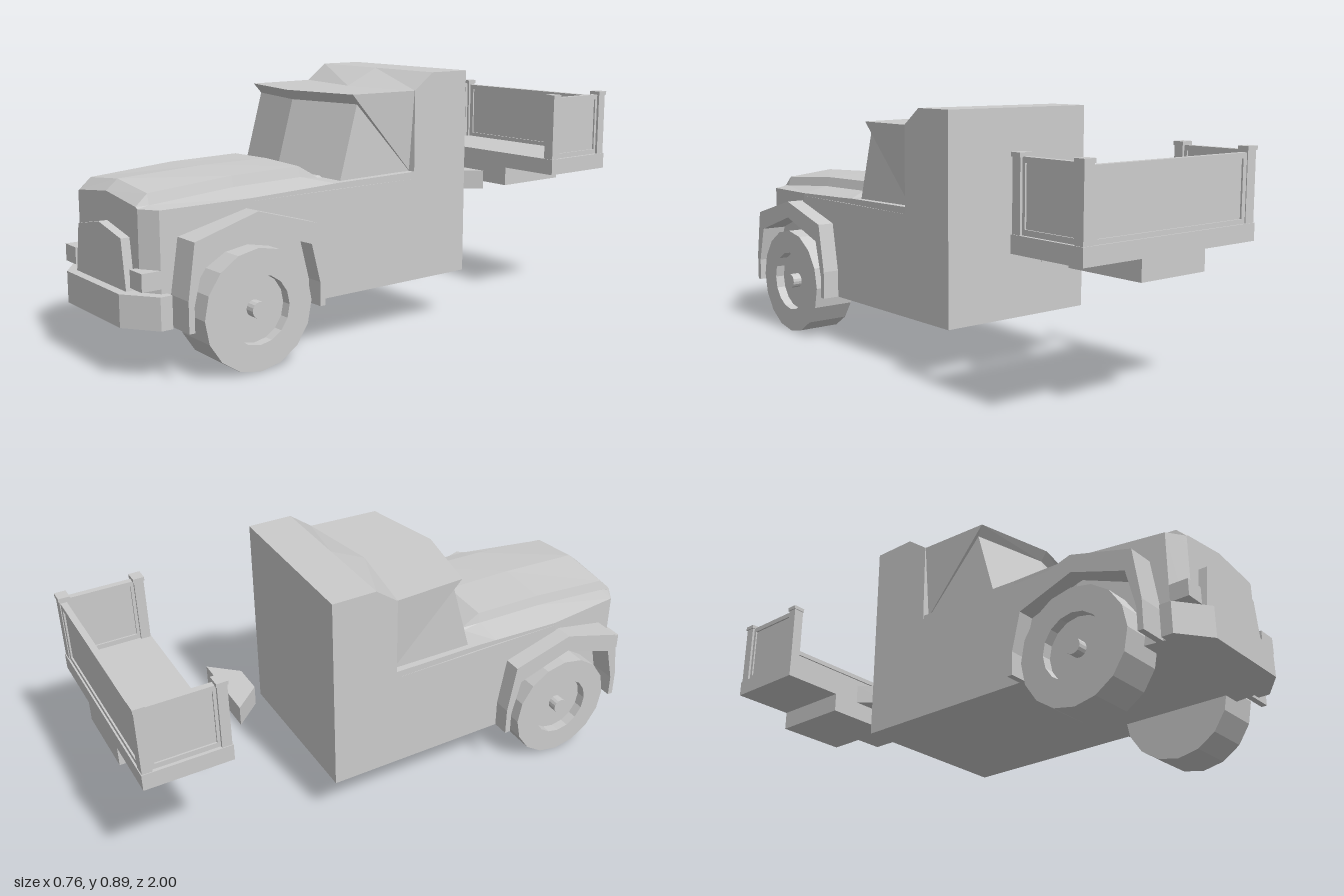
import * as THREE from 'three';

const mat = new THREE.MeshStandardMaterial({ color: 0xcccccc, flatShading: true });

export function createModel() {
  const model = new THREE.Group();

  const add = (name, geo, x = 0, y = 0, z = 0) => {
    const m = new THREE.Mesh(geo, mat);
    m.name = name;
    m.position.set(x, y, z);
    model.add(m);
    return m;
  };

  // Box given by its extents
  const box = (name, x0, x1, y0, y1, z0, z1) =>
    add(name, new THREE.BoxGeometry(x1 - x0, y1 - y0, z1 - z0), (x0 + x1) / 2, (y0 + y1) / 2, (z0 + z1) / 2);

  // Mirrored half outline [x, z], extruded upwards
  const plan = (name, half, y0, y1) => {
    const pts = [...half, ...half.map(([x, z]) => [-x, z]).reverse()];
    const geo = new THREE.ExtrudeGeometry(new THREE.Shape(pts.map(([x, z]) => new THREE.Vector2(x, -z))),
      { depth: y1 - y0, bevelEnabled: false });
    return add(name, geo.rotateX(-Math.PI / 2), 0, y0, 0);
  };

  // Side outline [z, y], extruded along x
  const side = (name, pts, x0, x1) => {
    const geo = new THREE.ExtrudeGeometry(new THREE.Shape(pts.map(([z, y]) => new THREE.Vector2(-z, y))),
      { depth: x1 - x0, bevelEnabled: false });
    return add(name, geo.rotateY(Math.PI / 2), x0, 0, 0);
  };

  // Skin over equal closed rings of [x, y, z], with fan caps, turned outwards
  const loft = (name, rings) => {
    const n = rings[0].length, tris = [];
    for (let r = 0; r < rings.length - 1; r++) {
      for (let i = 0; i < n; i++) {
        const j = (i + 1) % n, a = rings[r], b = rings[r + 1];
        tris.push([a[i], a[j], b[j]], [a[i], b[j], b[i]]);
      }
    }
    const last = rings[rings.length - 1];
    for (let i = 1; i < n - 1; i++) {
      tris.push([rings[0][0], rings[0][i + 1], rings[0][i]], [last[0], last[i], last[i + 1]]);
    }
    const v = (p) => new THREE.Vector3(...p);
    const volume = tris.reduce((s, [a, b, c]) => s + v(a).dot(v(b).cross(v(c))), 0);
    const out = volume < 0 ? tris.map(([a, b, c]) => [a, c, b]) : tris;
    const geo = new THREE.BufferGeometry();
    geo.setAttribute('position', new THREE.Float32BufferAttribute(out.flat(2), 3));
    geo.computeVertexNormals();
    return add(name, geo);
  };

  // Lower body
  plan('lowerBody', [[0.305, -0.31], [0.305, 0.6], [0.26, 0.9], [0.2, 0.94]], 0.17, 0.53);

  // Hood and cowl: shoulder, step, raised centre panel
  const hoodRing = (z, shoulderX, shoulderY, baseY, topY, midY) => {
    const half = [[shoulderX, 0.5], [shoulderX, shoulderY], [0.2, baseY], [0.19, topY]];
    return [[0, 0.5], ...half, [0, midY], ...half.map(([x, y]) => [-x, y]).reverse()].map(([x, y]) => [x, y, z]);
  };
  loft('hood', [
    hoodRing(-0.1, 0.305, 0.555, 0.556, 0.557, 0.558),
    hoodRing(0.27, 0.3, 0.55, 0.555, 0.56, 0.565),
    hoodRing(0.34, 0.3, 0.547, 0.565, 0.6, 0.605),
    hoodRing(0.6, 0.305, 0.54, 0.56, 0.595, 0.605),
    hoodRing(0.9, 0.26, 0.53, 0.537, 0.572, 0.592),
    hoodRing(0.94, 0.2, 0.528, 0.53, 0.535, 0.558),
  ]);

  // Rear of the cab with its raised, V-shaped roof step
  const rearRing = (x, z) => [[x, 0.5, -0.31], [x, 0.893, -0.31], [x, 0.893, -0.15], [x, 0.834, z], [x, 0.5, z]];
  loft('cabRear', [rearRing(-0.305, -0.07), rearRing(0, -0.02), rearRing(0.305, -0.07)]);

  // Front of the cab: roof, visor lip and V-shaped windshield
  const frontRing = (s, dz) => [
    [s * 0.28, 0.5, -0.12], [s * 0.28, 0.8, -0.12], [s * 0.303, 0.834, -0.12], [s * 0.303, 0.834, -0.07],
    [s * 0.29, 0.834, 0.19 + dz], [s * 0.28, 0.8, 0.165 + dz], [s * 0.28, 0.5, 0.25 + dz]];
  loft('cabFront', [frontRing(-1, 0), frontRing(0, 0.06), frontRing(1, 0)]);

  // Bumper and grille
  plan('bumper', [[0.29, 0.88], [0.29, 0.92], [0.18, 1.0]], 0.17, 0.275);
  const grille = new THREE.Shape([[-0.17, 0.27], [0.17, 0.27], [0.145, 0.435], [0, 0.465], [-0.145, 0.435]]
    .map(([x, y]) => new THREE.Vector2(x, y)));
  add('grille', new THREE.ExtrudeGeometry(grille, { depth: 0.05, bevelEnabled: false }), 0, 0, 0.92);

  // Wheel profile: tyre, dished rim, hub
  const wheelProfile = [[0, -0.08], [0.198, -0.08], [0.198, 0.08], [0.112, 0.08], [0.112, 0.045],
    [0.027, 0.045], [0.027, 0.08], [0, 0.08]].map(([r, h]) => new THREE.Vector2(r, h));
  const arch = [[0.364, 0.17], [0.364, 0.27], [0.395, 0.445], [0.62, 0.51], [0.845, 0.445], [0.87, 0.27], [0.87, 0.17],
    [0.85, 0.17], [0.85, 0.25], [0.818, 0.38], [0.62, 0.448], [0.418, 0.38], [0.385, 0.25], [0.385, 0.17]];

  for (const s of [1, -1]) {
    const span = (a, b) => (s > 0 ? [a, b] : [-b, -a]);
    const label = s > 0 ? 'left' : 'right';
    const wheel = new THREE.LatheGeometry(wheelProfile, 16).rotateZ(-s * Math.PI / 2);
    add(label + 'Wheel', wheel, s * 0.285, 0.198, 0.617);
    side(label + 'Fender', arch, ...span(0.26, 0.367));
    box(label + 'Headlight', ...span(0.187, 0.26), 0.29, 0.347, 0.88, 0.965);
  }

  // Hitch behind the cab
  plan('hitch', [[0.14, -0.577], [0.055, -0.483]], 0.417, 0.487);

  // Rear platform, open towards the cab
  box('platformFloor', -0.377, 0.377, 0.487, 0.545, -1, -0.7);
  box('platformBlock', -0.14, 0.14, 0.417, 0.487, -1, -0.7);

  // Panel border: rectangle with a rectangular hole
  const border = (w, h, rim, depth) => {
    const rect = (a, b, C) => new C([[-a, -b], [a, -b], [a, b], [-a, b]].map(([x, y]) => new THREE.Vector2(x, y)));
    const shape = rect(w / 2, h / 2, THREE.Shape);
    shape.holes.push(rect(w / 2 - rim, h / 2 - rim, THREE.Path));
    return new THREE.ExtrudeGeometry(shape, { depth, bevelEnabled: false }).translate(0, 0, -depth / 2);
  };
  add('tailBorder', border(0.67, 0.225, 0.018, 0.022), 0, 0.655, -0.983);
  box('tailPanel', -0.33, 0.33, 0.545, 0.76, -0.988, -0.978);
  for (const s of [1, -1]) {
    const label = s > 0 ? 'left' : 'right';
    add(label + 'SideBorder', border(0.24, 0.23, 0.018, 0.022).rotateY(Math.PI / 2), s * 0.354, 0.66, -0.85);
    box(label + 'SidePanel', s * 0.354 - 0.005, s * 0.354 + 0.005, 0.545, 0.77, -0.97, -0.73);
    for (const z of [-0.98, -0.72]) {
      box(label + 'Post', s * 0.354 - 0.02, s * 0.354 + 0.02, 0.545, 0.775, z - 0.017, z + 0.017);
      box(label + 'PostCap', s * 0.355 - 0.023, s * 0.355 + 0.023, 0.773, 0.787, z - 0.02, z + 0.02);
    }
  }

  return model;
}
